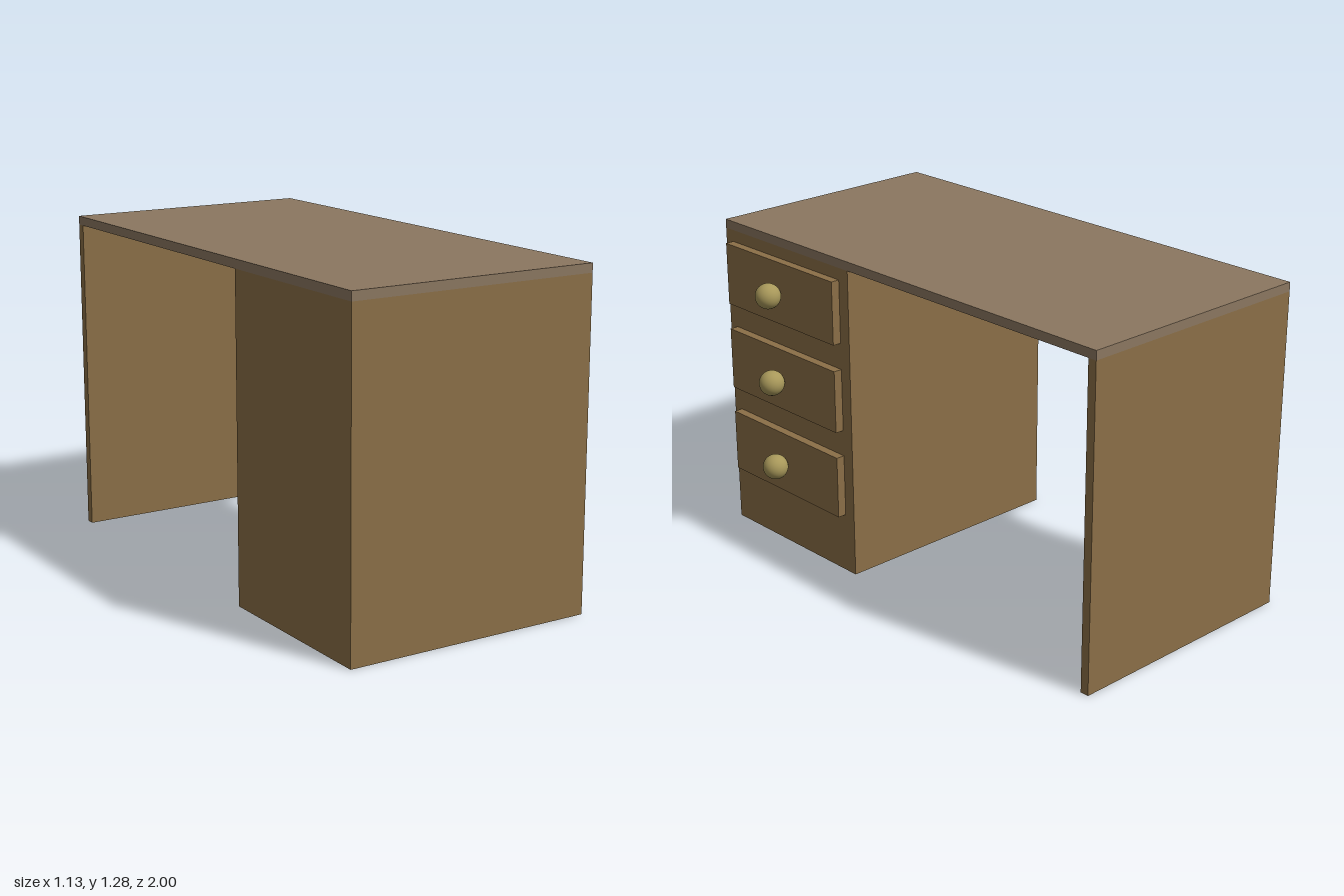
import * as THREE from 'three';

const wood = new THREE.MeshStandardMaterial({ color: 0x8b6f47 });
const topWood = new THREE.MeshStandardMaterial({ color: 0x8b7760 });
const brass = new THREE.MeshStandardMaterial({ color: 0xa8985a });

// Box given by its minimum and maximum corners
function box(name, [x0, y0, z0], [x1, y1, z1], material) {
  const mesh = new THREE.Mesh(new THREE.BoxGeometry(x1 - x0, y1 - y0, z1 - z0), material);
  mesh.position.set((x0 + x1) / 2, (y0 + y1) / 2, (z0 + z1) / 2);
  mesh.name = name;
  return mesh;
}

export function createModel() {
  const desk = new THREE.Group();
  desk.name = 'desk';
  const back = -0.567, face = 0.432, under = 1.25;

  // Top board, drawer cabinet and the panel leg at the far end
  desk.add(box('desktop', [back, under, -1], [face, 1.285, 1], topWood));
  desk.add(box('cabinet', [back, 0, 0.257], [face, under, 1], wood));
  desk.add(box('sidePanel', [back, 0, -1], [face, under, -0.965], wood));

  // Three drawer fronts, each with a round knob
  for (let i = 0; i < 3; i++) {
    const y = 0.367 + i * 0.3555;
    const drawer = new THREE.Group();
    drawer.name = 'drawer' + (i + 1);
    drawer.add(box('drawerFront', [face, y - 0.125, 0.308], [0.467, y + 0.125, 0.957], wood));
    const knob = new THREE.Mesh(new THREE.SphereGeometry(0.05, 32, 24), brass);
    knob.name = 'knob';
    knob.position.set(0.517, y, 0.633);
    drawer.add(knob);
    desk.add(drawer);
  }
  return desk;
}
